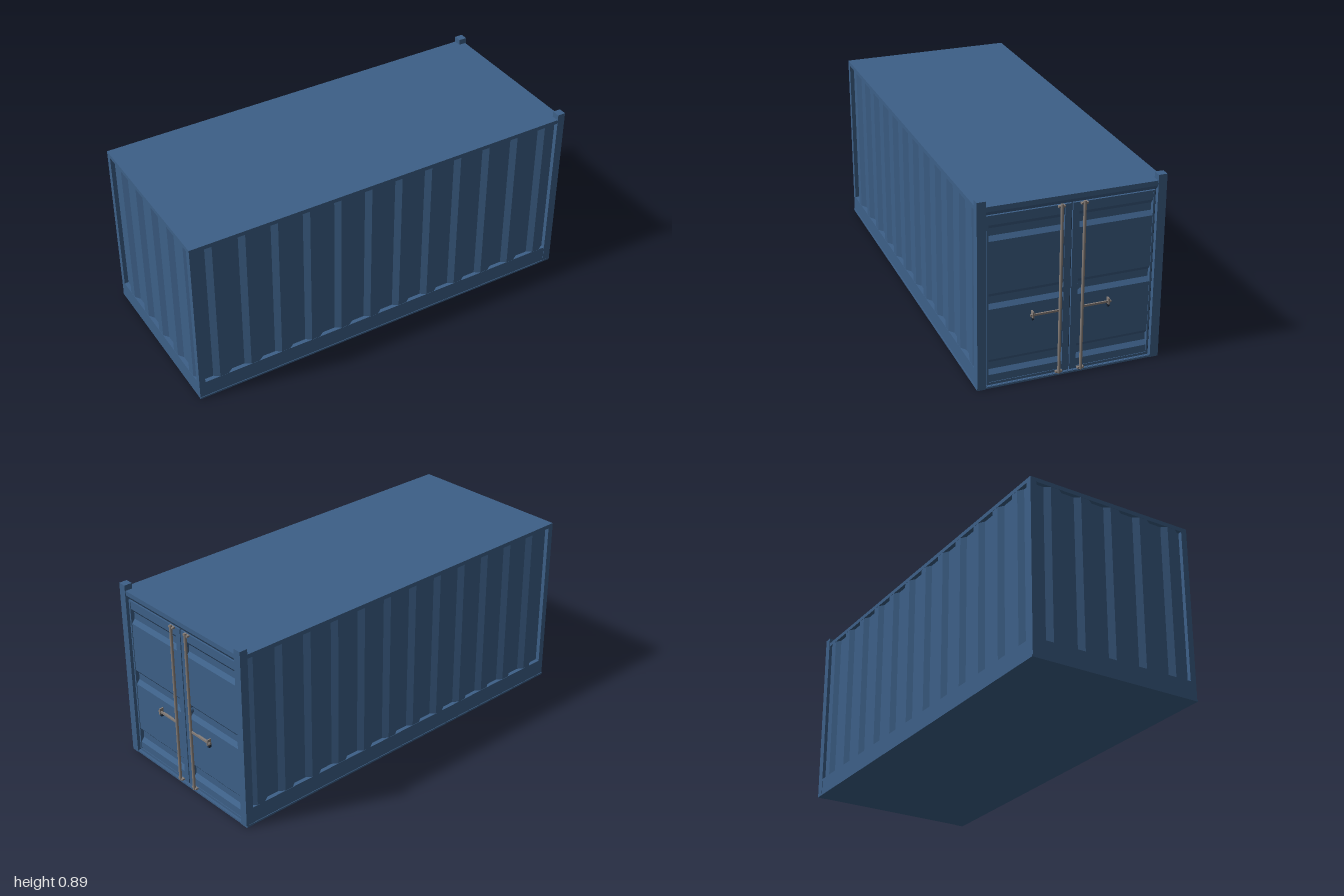
import * as THREE from 'three';

const paint = new THREE.MeshStandardMaterial({ color: 0x3d6088 });
paint.name = 'blue paint';
const steel = new THREE.MeshStandardMaterial({ color: 0x857d78 });
steel.name = 'bare steel';
const rubber = new THREE.MeshStandardMaterial({ color: 0x1d2b3d });
rubber.name = 'dark seal';

function add(parent, name, geometry, material = paint) {
  const mesh = new THREE.Mesh(geometry, material);
  mesh.name = name;
  parent.add(mesh);
  return mesh;
}

// Box given by its lower and upper limits on each axis
function box(parent, name, [x0, x1], [y0, y1], [z0, z1], material = paint) {
  const g = new THREE.BoxGeometry(Math.abs(x1 - x0), y1 - y0, Math.abs(z1 - z0));
  g.translate((x0 + x1) / 2, (y0 + y1) / 2, (z0 + z1) / 2);
  return add(parent, name, g, material);
}

function extrude(points, depth) {
  const shape = new THREE.Shape(points.map(([x, y]) => new THREE.Vector2(x, y)));
  return new THREE.ExtrudeGeometry(shape, { depth, bevelEnabled: false });
}

// Upright corrugated sheet from u0 to u1 along x; side = 1 faces +z, -1 faces -z
function corrugated(u0, u1, ribs, distance, side) {
  const pitch = 0.161, depth = 0.02;
  const inner = distance - depth, outer = distance - 0.001;
  const outline = [[u0, inner - 0.01], [u0, inner]];
  for (let i = 0; i < ribs; i++) {
    const u = u0 + i * pitch;
    outline.push([u + 0.05, inner], [u + 0.077, outer], [u + 0.12, outer], [u + 0.147, inner]);
  }
  outline.push([u1, inner], [u1, inner - 0.01]);
  const g = extrude(outline.map(([u, d]) => [u, -side * d]), 0.755);
  return g.rotateX(-Math.PI / 2).translate(0, 0.09, 0);
}

// One door leaf with its locking gear; s = 1 or -1 picks the side in z
function door(s) {
  const leaf = new THREE.Group();
  leaf.name = s > 0 ? 'leftDoor' : 'rightDoor';
  const X = [0.95, 0.978];

  // Leaf frame
  box(leaf, 'doorCentreStile', X, [0.012, 0.82], [s * 0.003, s * 0.033]);
  box(leaf, 'doorOuterStile', X, [0.012, 0.82], [s * 0.377, s * 0.386]);
  box(leaf, 'doorBottomRail', X, [0.012, 0.024], [s * 0.033, s * 0.377]);
  box(leaf, 'doorTopRail', X, [0.81, 0.82], [s * 0.033, s * 0.377]);

  // Panel with three horizontal grooves
  const face = 0.975, groove = 0.959;
  const profile = [[0.95, 0.024], [face, 0.024]];
  for (const y of [0.06, 0.38, 0.7]) {
    profile.push([face, y], [groove, y + 0.02], [groove, y + 0.055], [face, y + 0.075]);
  }
  profile.push([face, 0.81], [0.95, 0.81]);
  const panel = extrude(profile, 0.344);
  panel.translate(0, 0, s > 0 ? 0.033 : -0.377);
  add(leaf, 'doorPanel', panel);

  // Round boss beside the stile
  const boss = new THREE.CylinderGeometry(0.016, 0.016, 0.028, 16).rotateZ(Math.PI / 2);
  add(leaf, 'doorBoss', boss).position.set(0.964, 0.418, s * 0.026);

  // Locking rod and its end brackets
  const rod = new THREE.CylinderGeometry(0.007, 0.007, 0.816, 12);
  add(leaf, 'lockRod', rod, steel).position.set(0.99, 0.42, s * 0.052);
  for (const y of [0.018, 0.816]) {
    box(leaf, 'rodBracket', [0.976, 0.992], [y - 0.004, y + 0.004], [s * 0.036, s * 0.068], steel);
  }

  // Handle, catch and retaining pin
  box(leaf, 'lockHandle', [0.985, 0.992], [0.32, 0.329], [s * 0.052, s * 0.19], steel);
  box(leaf, 'handlePlate', [0.976, 0.985], [0.317, 0.323], [s * 0.09, s * 0.165], steel);
  box(leaf, 'handleCatch', [0.975, 0.996], [0.312, 0.342], [s * 0.174, s * 0.181], steel);
  box(leaf, 'catchPin', [0.976, 0.99], [0.3, 0.312], [s * 0.173, s * 0.182], rubber);
  return leaf;
}

export function createModel() {
  const model = new THREE.Group();
  model.name = 'shippingContainer';

  // Base, roof and frame
  box(model, 'base', [-1, 0.95], [0, 0.09], [-0.43, 0.43]);
  box(model, 'baseLip', [-1, 0.988], [0, 0.009], [-0.433, 0.433]);
  box(model, 'roof', [-1, 0.95], [0.845, 0.865], [-0.43, 0.43]);
  for (const s of [1, -1]) {
    box(model, 'rearPost', [-1, -0.97], [0.09, 0.845], [s * 0.4, s * 0.43]);
    box(model, 'doorPost', [0.95, 0.99], [0, 0.893], [s * 0.392, s * 0.432]);
    add(model, 'sideWall', corrugated(-0.97, 0.95, 12, 0.43, s));
  }

  // Closed end wall
  const end = add(model, 'endWall', corrugated(-0.4, 0.4, 5, 1, 1));
  end.rotation.y = -Math.PI / 2;

  // Door opening: sloped header, sill and dark seal behind the leaves
  const header = extrude(
    [[0.95, 0.865], [0.95, 0.82], [0.972, 0.822], [0.986, 0.842], [0.986, 0.865]], 0.784);
  add(model, 'doorHeader', header.translate(0, 0, -0.392));
  box(model, 'doorSill', [0.95, 0.984], [0, 0.01], [-0.392, 0.392]);
  box(model, 'doorSeal', [0.945, 0.968], [0.008, 0.822], [-0.0029, 0.0029], rubber);
  for (const s of [1, -1]) {
    box(model, 'hingeSeal', [0.945, 0.968], [0.008, 0.822], [s * 0.386, s * 0.392], rubber);
    model.add(door(s));
  }
  return model;
}
